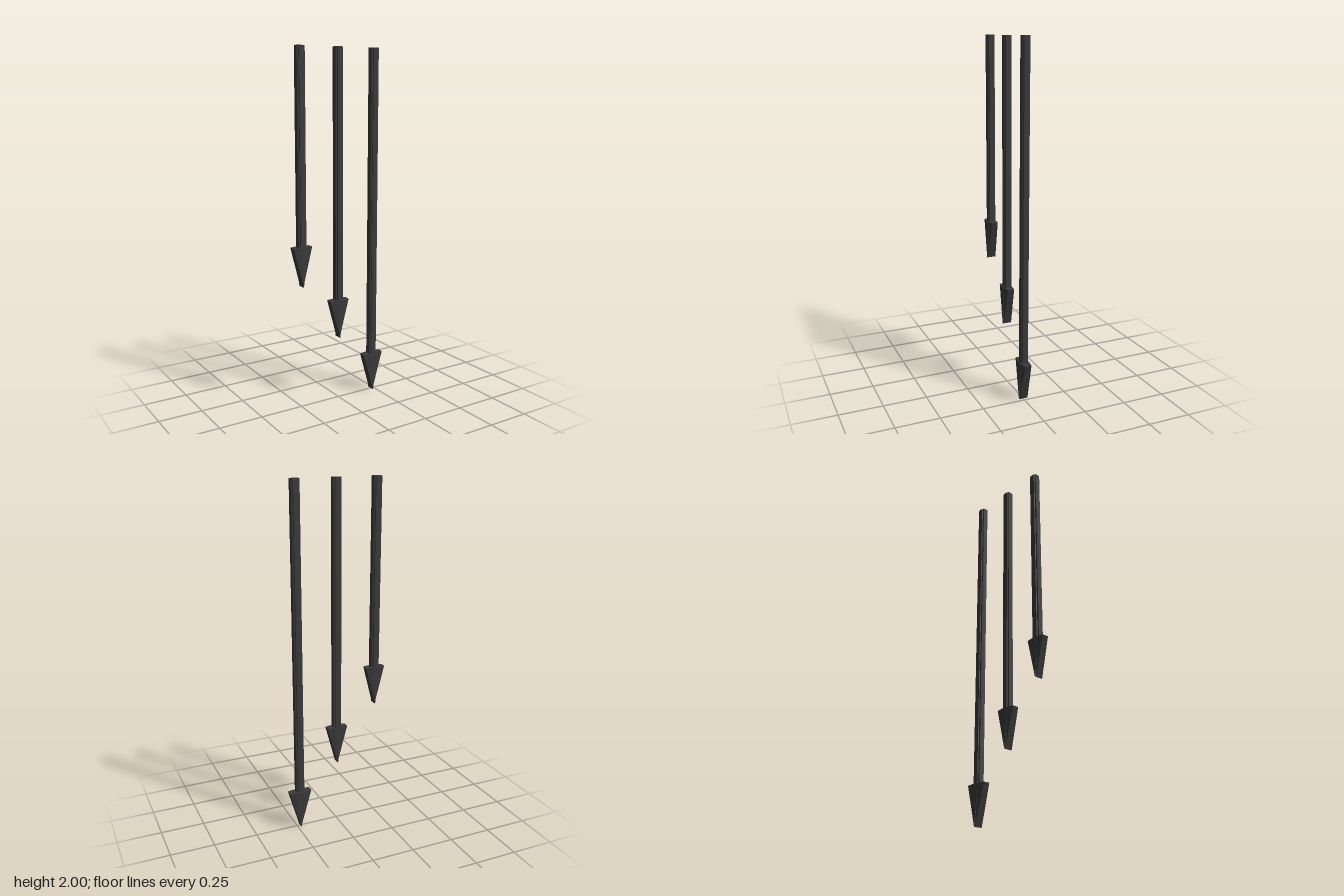
import * as THREE from 'three';

// Mirror a quarter outline (ordered from the +x side to the +z side) into a full closed shape
function mirroredShape(quarter) {
  const back = [...quarter].reverse();
  const points = [
    ...quarter,
    ...back.map(([x, z]) => [-x, z]),
    ...quarter.map(([x, z]) => [-x, -z]),
    ...back.map(([x, z]) => [x, -z]),
  ];
  return new THREE.Shape(points.map(([x, z]) => new THREE.Vector2(x, z)));
}

// Vertical prism standing on y = 0
function prism(quarter, height) {
  const geometry = new THREE.ExtrudeGeometry(mirroredShape(quarter), { depth: height, bevelEnabled: false });
  return geometry.rotateX(-Math.PI / 2);
}

// Shaft with notched corners
function shaftGeometry(height) {
  return prism([[0.024, 0.015], [0.016, 0.017], [0.014, 0.0215]], height);
}

// Faceted head, narrowing in width to a chisel edge at the bottom
function headGeometry(halfWidth, height) {
  const geometry = prism([[halfWidth, 0.019], [0.021, 0.0265]], height);
  const position = geometry.attributes.position;
  for (let i = 0; i < position.count; i++) {
    position.setX(i, position.getX(i) * position.getY(i) / height);
  }
  geometry.computeVertexNormals();
  return geometry;
}

export function createModel() {
  const model = new THREE.Group();
  model.name = 'hangingArrows';
  const material = new THREE.MeshStandardMaterial({ color: 0x3a3a3a, flatShading: true });

  const arrows = [
    { name: 'shortArrow', x: -0.24, tip: 0.705, neck: 0.93, halfWidth: 0.058 },
    { name: 'middleArrow', x: -0.003, tip: 0.37, neck: 0.595, halfWidth: 0.061 },
    { name: 'longArrow', x: 0.231, tip: 0, neck: 0.228, halfWidth: 0.066 },
  ];

  for (const { name, x, tip, neck, halfWidth } of arrows) {
    const arrow = new THREE.Group();
    arrow.name = name;
    arrow.position.x = x;

    const shaft = new THREE.Mesh(shaftGeometry(2 - neck), material);
    shaft.name = 'shaft';
    shaft.position.y = neck;

    const head = new THREE.Mesh(headGeometry(halfWidth, neck - tip), material);
    head.name = 'arrowHead';
    head.position.y = tip;

    arrow.add(shaft, head);
    model.add(arrow);
  }
  return model;
}
